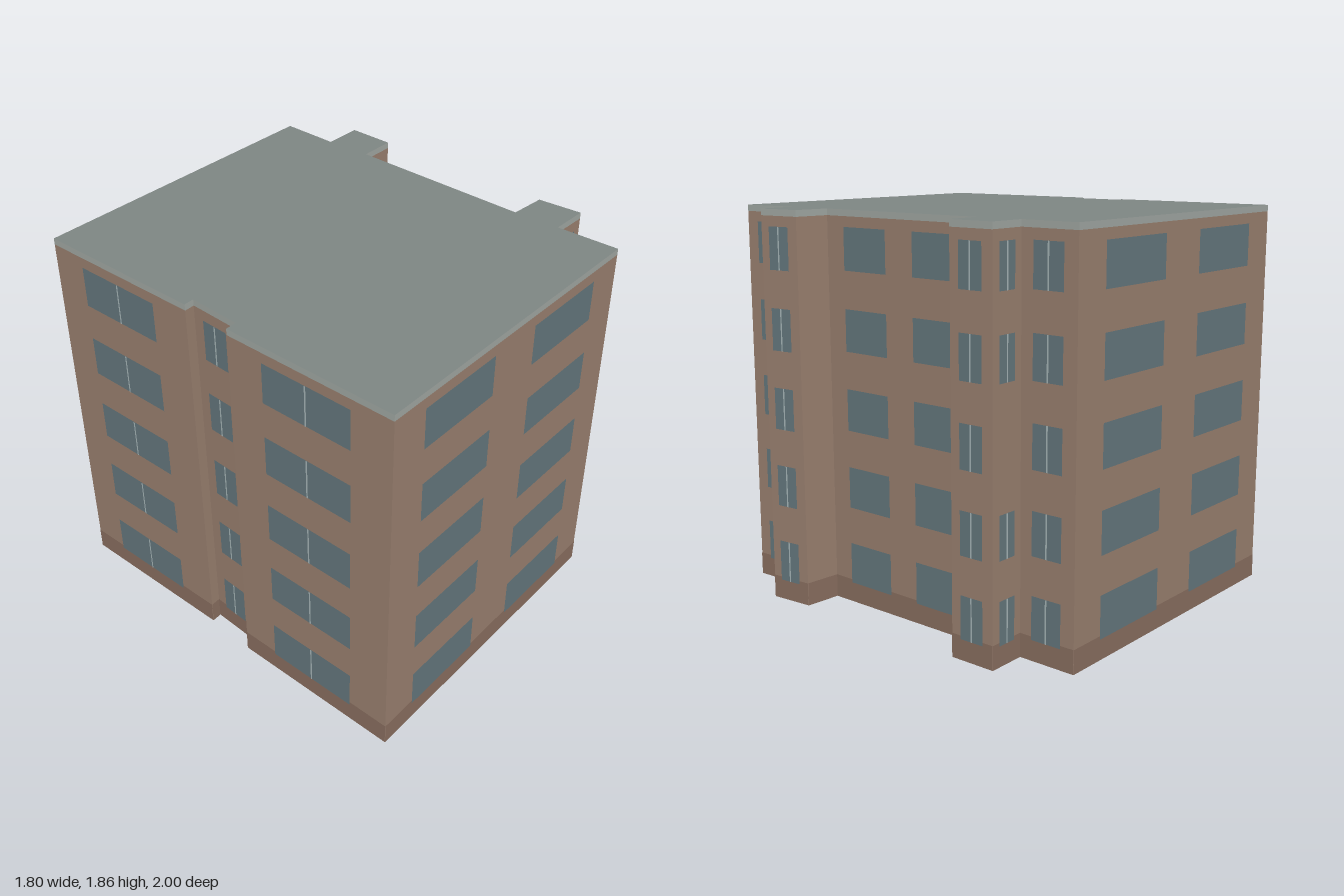
import * as THREE from 'three';
import { mergeGeometries } from 'three/addons/utils/BufferGeometryUtils.js';

const HEIGHT = 1.86, COPING = 1.83, PLINTH = 0.11;

// Window layouts: [start, end] as fractions of the wall length
const PAIR = { spans: [[0.12, 0.41], [0.59, 0.88]], rows: [0, 1, 2, 3, 4] };
const SINGLE = { spans: [[0.22, 0.76]], rows: [0, 1, 2, 3, 4], mullion: true };
const GAPPED = { spans: [[0.22, 0.76]], rows: [0, 1, 3, 4], mullion: true };

// Footprint corners (x, z), each with the windows of the wall that starts there
const FOOTPRINT = [
  [-0.90, 0.95, PAIR],      // front
  [0.665, 0.995, SINGLE],   // left side, front end
  [0.665, 0.69, GAPPED],    // front bay
  [0.85, 0.70, SINGLE],
  [0.84, 0.485, null],
  [0.665, 0.465, PAIR],     // left side, middle
  [0.71, -0.44, null],      // rear bay
  [0.885, -0.435, SINGLE],
  [0.895, -0.66, GAPPED],
  [0.71, -0.665, SINGLE],   // left side, rear end
  [0.725, -0.95, PAIR],     // back
  [-0.82, -1.0, SINGLE],    // right side, rear
  [-0.845, -0.165, null],   // recess
  [-0.795, -0.165, SINGLE],
  [-0.815, 0.09, null],
  [-0.87, 0.09, SINGLE],    // right side, front
];

// Upright panel on the wall p-q, between fractions t0 and t1, pushed out by lift
function panel(p, q, t0, t1, y0, y1, lift) {
  const dx = q[0] - p[0], dz = q[1] - p[1], length = Math.hypot(dx, dz);
  const mid = (t0 + t1) / 2;
  const geometry = new THREE.PlaneGeometry((t1 - t0) * length, y1 - y0);
  geometry.rotateY(Math.atan2(-dz, dx));
  return geometry.translate(
    p[0] + dx * mid - (dz / length) * lift,
    (y0 + y1) / 2,
    p[1] + dz * mid + (dx / length) * lift
  );
}

export function createModel() {
  const group = new THREE.Group();
  const parts = { walls: [], coping: [], plinth: [], windows: [], mullions: [] };

  FOOTPRINT.forEach((p, i) => {
    const q = FOOTPRINT[(i + 1) % FOOTPRINT.length];
    const length = Math.hypot(q[0] - p[0], q[1] - p[1]);
    parts.walls.push(panel(p, q, 0, 1, 0, COPING, 0));
    parts.coping.push(panel(p, q, 0, 1, COPING, HEIGHT, 0));
    parts.plinth.push(panel(p, q, 0, 1, 0, PLINTH, 0.0015));

    const layout = p[2];
    if (!layout) return;
    for (const row of layout.rows) {
      const y = 0.095 + row * 0.3725;
      for (const [t0, t1] of layout.spans) {
        parts.windows.push(panel(p, q, t0, t1, y, y + 0.197, 0.003));
        if (layout.mullion) {
          const mid = (t0 + t1) / 2, half = 0.004 / length;
          parts.mullions.push(panel(p, q, mid - half, mid + half, y, y + 0.197, 0.0045));
        }
      }
    }
  });

  const add = (name, geometry, color, side = THREE.FrontSide) => {
    const mesh = new THREE.Mesh(geometry, new THREE.MeshStandardMaterial({ color, side }));
    mesh.name = name;
    group.add(mesh);
  };

  // Hollow shell, open underneath
  add('walls', mergeGeometries(parts.walls), 0x9c8271, THREE.DoubleSide);
  add('roofCoping', mergeGeometries(parts.coping), 0xa3aaa5, THREE.DoubleSide);
  add('plinth', mergeGeometries(parts.plinth), 0x8b7061);
  add('windows', mergeGeometries(parts.windows), 0x66797f);
  add('windowMullions', mergeGeometries(parts.mullions), 0xa9b8ba);

  // Flat roof
  const outline = new THREE.Shape(FOOTPRINT.map(([x, z]) => new THREE.Vector2(x, -z)));
  const roof = new THREE.ShapeGeometry(outline).rotateX(-Math.PI / 2).translate(0, HEIGHT, 0);
  add('roof', roof, 0x7f8784, THREE.DoubleSide);

  return group;
}
